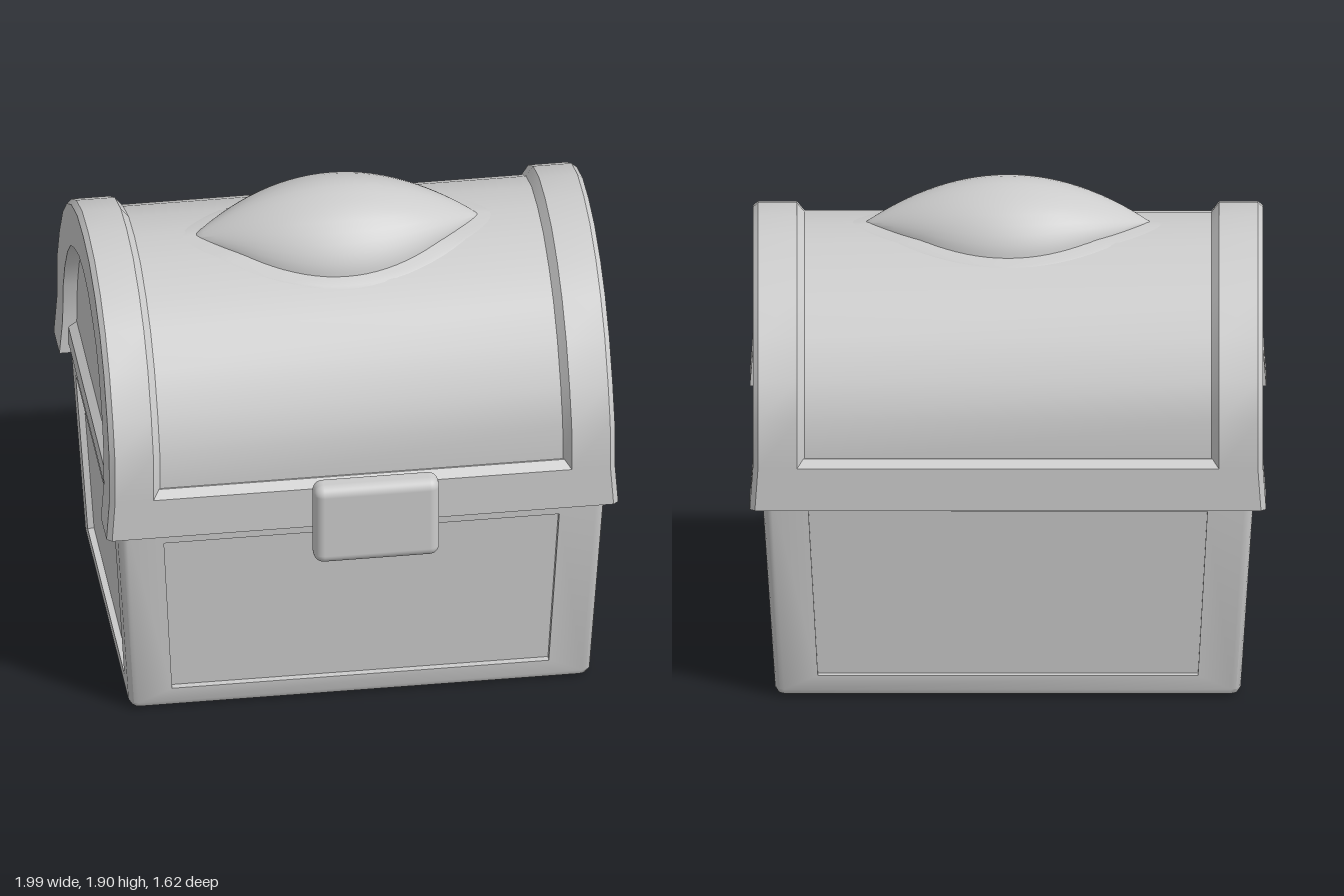
import * as THREE from 'three';
import { toCreasedNormals } from 'three/addons/utils/BufferGeometryUtils.js';
import { RoundedBoxGeometry } from 'three/addons/geometries/RoundedBoxGeometry.js';

const material = new THREE.MeshStandardMaterial({ color: 0xcccccc });
const V = (x, y, z) => new THREE.Vector3(x, y, z);
const LID_Z = -0.04; // the lid sits slightly behind the centre

// Half profiles of the lid arch, foot to crown: [half depth, height]
const OUTER = [[0.765, 0.83], [0.76, 1.0], [0.755, 1.196], [0.694, 1.338], [0.6, 1.49],
  [0.48, 1.607], [0.344, 1.688], [0.177, 1.744], [0, 1.759]];
const INNER = [[0.588, 0.83], [0.585, 0.98], [0.567, 1.156], [0.52, 1.277], [0.445, 1.389],
  [0.36, 1.472], [0.26, 1.525], [0.13, 1.573], [0, 1.586]];

// Whole arch, front to back, at a fraction f of the rim thickness
function arch(f) {
  const half = OUTER.map(([z, y], i) => [z + (INNER[i][0] - z) * f, y + (INNER[i][1] - y) * f]);
  return [...half, ...half.slice(0, -1).reverse().map(([z, y]) => [-z, y])];
}

function named(name, geometry) {
  const mesh = new THREE.Mesh(geometry, material);
  mesh.name = name;
  return mesh;
}

// Collects triangles from corner points
function builder() {
  const pos = [];
  const tri = (...p) => p.forEach((v) => pos.push(v.x, v.y, v.z));
  const quad = (a, b, c, d) => { tri(a, b, c); tri(a, c, d); };
  const fan = (ring) => {
    for (let i = 1; i < ring.length - 1; i++) tri(ring[0], ring[i], ring[i + 1]);
  };
  const grid = (rows) => {
    for (let i = 0; i < rows.length - 1; i++) {
      for (let j = 0; j < rows[i].length - 1; j++) {
        quad(rows[i][j], rows[i][j + 1], rows[i + 1][j + 1], rows[i + 1][j]);
      }
    }
  };
  const finish = (crease = 0.6) => {
    const g = new THREE.BufferGeometry();
    g.setAttribute('position', new THREE.Float32BufferAttribute(pos, 3));
    return toCreasedNormals(g, crease);
  };
  return { quad, fan, grid, finish };
}

// Tapered chest body with rounded corners and a recessed panel on each side
function baseGeometry() {
  const b = builder();
  const r = 0.035;
  const section = (y, inset) => {
    const hx = 0.897 + 0.062 * y - inset;
    const hz = 0.645 + 0.05 * y - inset;
    const ring = [];
    for (let k = 0; k < 4; k++) {
      const sx = [1, -1, -1, 1][k];
      const sz = [-1, -1, 1, 1][k];
      for (let j = 0; j < 4; j++) {
        const a = (k + j / 3) * Math.PI / 2;
        ring.push(V(sx * (hx - r) + r * Math.cos(a), y, sz * (hz - r) - r * Math.sin(a) + 0.005));
      }
    }
    return ring;
  };
  const recessed = (o) => {
    const at = (u, v) => o[0].clone().lerp(o[1], u).lerp(o[3].clone().lerp(o[2], u), v);
    const edge = [at(0.077, 0.07), at(0.923, 0.07), at(0.923, 0.893), at(0.077, 0.893)];
    const normal = o[1].clone().sub(o[0]).cross(o[3].clone().sub(o[0])).normalize();
    const deep = edge.map((p) => p.clone().addScaledVector(normal, -0.025));
    for (let k = 0; k < 4; k++) {
      const n = (k + 1) % 4;
      b.quad(o[k], o[n], edge[n], edge[k]);
      b.quad(edge[k], edge[n], deep[n], deep[k]);
    }
    b.quad(...deep);
  };
  const rings = [section(0, 0.03), section(0.009, 0.009), section(0.03, 0), section(0.87, 0)];
  for (let s = 0; s < 3; s++) {
    for (let i = 0; i < 16; i++) {
      const n = (i + 1) % 16;
      const corners = [rings[s][i], rings[s][n], rings[s + 1][n], rings[s + 1][i]];
      if (s === 2 && i % 4 === 3) recessed(corners);
      else b.quad(...corners);
    }
  }
  b.fan([...rings[0]].reverse());
  b.fan(rings[3]);
  return b.finish();
}

// Arched band at one end of the lid, flaring a little at its feet
function rimGeometry() {
  const b = builder();
  const cross = [[0.785, 0.2], [0.815, 0], [0.965, 0], [0.985, 0.09], [0.985, 1], [0.785, 1]];
  const paths = cross.map(([, f]) => arch(f));
  const rows = paths[0].map((_, i) => cross.map(([x], j) => {
    const [z, y] = paths[j][i];
    const flare = x > 0.9 && y < 0.9 ? 0.012 : 0;
    return V(x + flare, y, z);
  }));
  b.grid(rows.map((row) => [...row, row[0]]));
  b.fan([...rows[0]].reverse());
  b.fan(rows[rows.length - 1]);
  return b.finish();
}

// Extrudes a flat outline, centred along z
function extrude(points, length) {
  const shape = new THREE.Shape(points.map(([x, y]) => new THREE.Vector2(x, y)));
  const g = new THREE.ExtrudeGeometry(shape, { depth: length, bevelEnabled: false });
  g.translate(0, 0, -length / 2);
  return toCreasedNormals(g, 0.6);
}

// Height of the lid surface at a given z
function lidHeight(z) {
  const pts = arch(0.2);
  const d = z - LID_Z;
  const i = pts.findIndex((p, k) => k > 0 && p[0] <= d);
  const [a, c] = [pts[i - 1], pts[i]];
  return a[1] + (c[1] - a[1]) * (a[0] - d) / (a[0] - c[0]);
}

// Almond-shaped swelling that follows the lid surface
function almondGeometry(halfLength, halfWidth, height) {
  const b = builder();
  const rows = [];
  for (let i = 0; i <= 20; i++) {
    const a = Math.PI * i / 20;
    const row = [];
    for (let j = 0; j <= 28; j++) {
      const u = j / 14 - 1;
      const f = 1 - u * u;
      const z = -0.02 + halfWidth * f * Math.cos(a);
      row.push(V(u * halfLength, lidHeight(z) - 0.005 + height * f * Math.sin(a), z));
    }
    rows.push(row);
  }
  b.grid(rows);
  return b.finish(1.2);
}

export function createModel() {
  const group = new THREE.Group();
  group.name = 'chest';
  group.add(named('base', baseGeometry()));

  const lid = new THREE.Group();
  lid.name = 'lid';
  lid.position.z = LID_Z;
  group.add(lid);

  // Vaulted panel with closed ends
  const vaultPoints = arch(0.2).map(([z, y]) => [z, Math.max(y, 0.84)]);
  const vault = named('vault', extrude(vaultPoints, 1.86));
  vault.rotation.y = Math.PI / 2;
  lid.add(vault);

  // End rims
  const rim = rimGeometry();
  ['leftRim', 'rightRim'].forEach((name, i) => {
    const mesh = named(name, rim);
    mesh.rotation.y = i * Math.PI;
    lid.add(mesh);
  });

  // Bevelled strips along the lower edges of the lid
  const longStrip = extrude([[0.6, 0.83], [0.765, 0.83], [0.76, 1.0], [0.73, 1.03], [0.6, 1.03]], 1.7);
  const endStrip = extrude([[0.85, 0.875], [0.962, 0.875], [0.962, 0.95], [0.928, 0.975], [0.85, 0.975]], 1.2);
  [['frontStrip', longStrip, -0.5], ['backStrip', longStrip, 0.5],
    ['leftStrip', endStrip, 0], ['rightStrip', endStrip, 1]].forEach(([name, g, turn]) => {
    const mesh = named(name, g);
    mesh.rotation.y = turn * Math.PI;
    lid.add(mesh);
  });

  // Swelling on the crown with its low surrounding fold
  group.add(named('crownFold', almondGeometry(0.67, 0.34, 0.025)));
  group.add(named('crownDome', almondGeometry(0.56, 0.29, 0.185)));

  // Latch
  const latch = named('latch', new RoundedBoxGeometry(0.49, 0.345, 0.105, 4, 0.04));
  latch.position.set(0.045, 0.878, 0.763);
  group.add(latch);
  return group;
}
